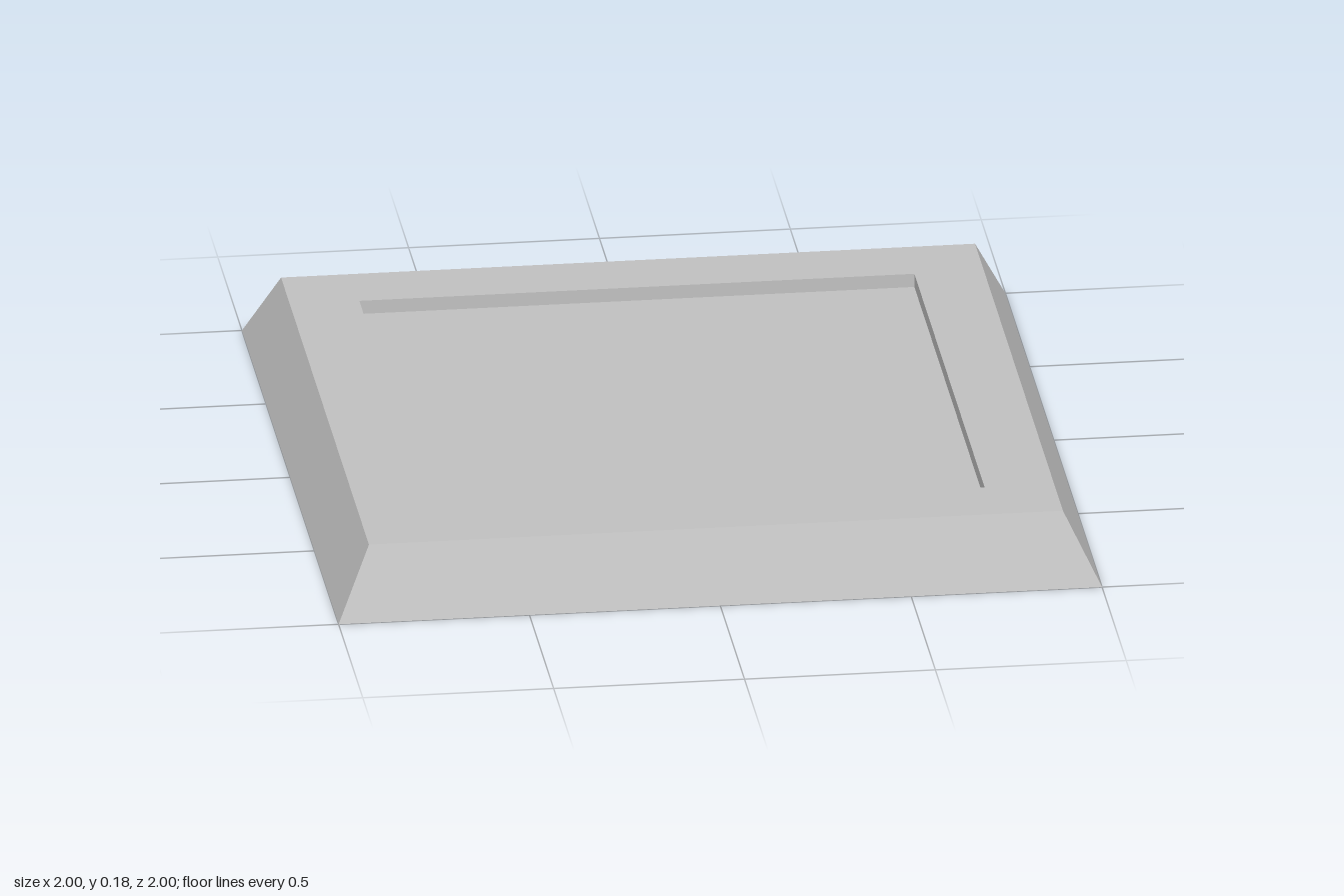
import * as THREE from 'three';

// Square solid or surface swept from [half-width, height] pairs, with flat faces
function squareSweep(profile) {
  const points = profile.map(([half, y]) => new THREE.Vector2(half * Math.SQRT2, y));
  const geometry = new THREE.LatheGeometry(points, 4, Math.PI / 4).toNonIndexed();
  geometry.computeVertexNormals();
  return geometry;
}

export function createModel() {
  const base = 1, rim = 0.909, recess = 0.727;
  const height = 0.182, floor = 0.145;

  const grey = new THREE.MeshStandardMaterial({ color: 0xc0c0c0 });
  grey.name = 'light grey';

  const model = new THREE.Group();
  model.name = 'recessedTile';

  const add = (name, profile) => {
    const mesh = new THREE.Mesh(squareSweep(profile), grey);
    mesh.name = name;
    model.add(mesh);
  };

  // Underside, sloping sides and flat rim
  add('bevelledFrame', [[0, 0], [base, 0], [rim, height], [recess, height]]);
  // Shallow square pocket: upright walls and floor
  add('recessedPanel', [[recess, height], [recess, floor], [0, floor]]);

  return model;
}
